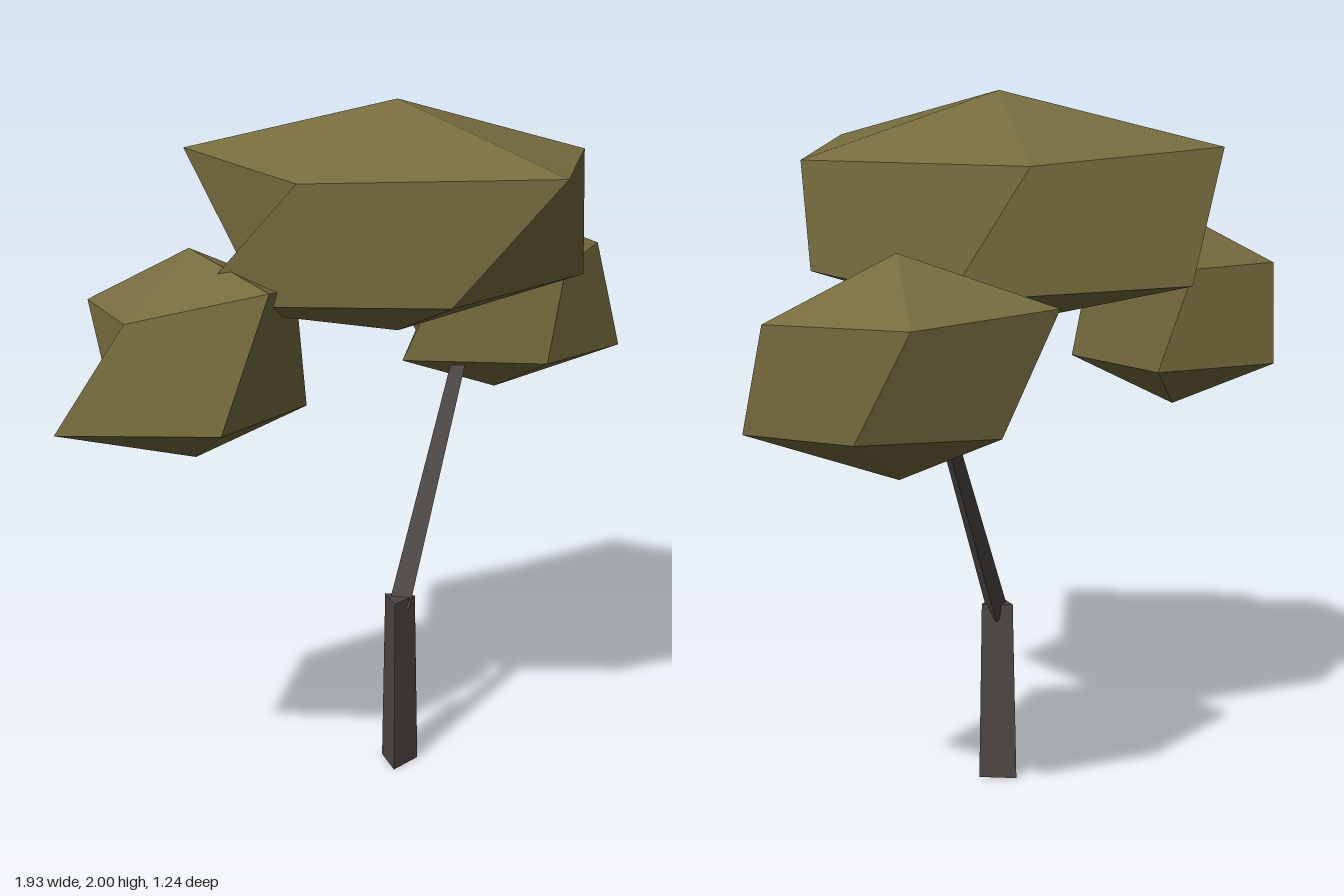
import * as THREE from 'three';

const foliage = new THREE.MeshStandardMaterial({ color: 0x776c3f });
foliage.name = 'olive foliage';
const bark = new THREE.MeshStandardMaterial({ color: 0x4d4844 });
bark.name = 'grey bark';

// Faceted crown: top point, two twisted rings of five, bottom point.
// Each side quad folds inward along one diagonal but keeps one flat normal.
function crown(name, top, upper, lower, bottom) {
  const positions = [], normals = [];
  const face = (...pts) => {
    const p = pts.map((q) => new THREE.Vector3(...q));
    // cross of the diagonals for a quad, of two edges for a triangle
    const n = p.length === 4
      ? p[2].clone().sub(p[0]).cross(p[3].clone().sub(p[1])).normalize()
      : p[1].clone().sub(p[0]).cross(p[2].clone().sub(p[0])).normalize();
    for (let i = 1; i < p.length - 1; i++) {
      for (const q of [p[0], p[i], p[i + 1]]) {
        positions.push(q.x, q.y, q.z);
        normals.push(n.x, n.y, n.z);
      }
    }
  };
  for (let i = 0; i < 5; i++) {
    const j = (i + 1) % 5;
    face(top, upper[i], upper[j]);
    face(lower[i], lower[j], upper[j], upper[i]);
    face(bottom, lower[j], lower[i]);
  }
  const geometry = new THREE.BufferGeometry();
  geometry.setAttribute('position', new THREE.Float32BufferAttribute(positions, 3));
  geometry.setAttribute('normal', new THREE.Float32BufferAttribute(normals, 3));
  const mesh = new THREE.Mesh(geometry, foliage);
  mesh.name = name;
  return mesh;
}

// Tapered three-sided limb between two points
function limb(name, from, to, r0, r1, turn) {
  const a = new THREE.Vector3(...from), b = new THREE.Vector3(...to);
  const dir = b.clone().sub(a);
  const geometry = new THREE.CylinderGeometry(r1, r0, dir.length(), 3).toNonIndexed();
  geometry.rotateY(turn);
  geometry.computeVertexNormals();
  const mesh = new THREE.Mesh(geometry, bark);
  mesh.name = name;
  mesh.position.copy(a).add(b).multiplyScalar(0.5);
  mesh.quaternion.setFromUnitVectors(new THREE.Vector3(0, 1, 0), dir.normalize());
  return mesh;
}

export function createModel() {
  const tree = new THREE.Group();
  tree.name = 'tree';

  // Trunk and its single leaning branch
  tree.add(limb('trunk', [0.02, 0, -0.031], [0.02, 0.535, -0.028], 0.0635, 0.052, Math.PI));
  tree.add(limb('branch', [0.028, 0.5, -0.03], [0.42, 1.23, -0.107], 0.036, 0.024, 0));

  // Rings run front, left, back left, back right, right
  tree.add(crown('mainCrown', [0.02, 2, -0.03],
    [[-0.08, 1.855, 0.62], [0.56, 1.83, 0.22], [0.35, 1.825, -0.36], [-0.28, 1.85, -0.57], [-0.46, 1.83, 0.04]],
    [[-0.22, 1.51, 0.36], [0.37, 1.51, 0.36], [0.57, 1.5, -0.26], [-0.03, 1.5, -0.62], [-0.64, 1.51, -0.18]],
    [0.02, 1.35, -0.03]));

  tree.add(crown('leftCrown', [0.63, 1.62, -0.15],
    [[0.59, 1.47, 0.145], [0.965, 1.47, 0], [0.87, 1.475, -0.38], [0.42, 1.485, -0.5], [0.33, 1.48, -0.1]],
    [[0.52, 1.18, 0.135], [0.9, 1.17, 0.135], [0.94, 1.2, -0.26], [0.6, 1.18, -0.45], [0.24, 1.19, -0.2]],
    [0.63, 1.04, -0.15]));

  tree.add(crown('rightCrown', [-0.55, 1.64, -0.27],
    [[-0.59, 1.57, 0.065], [-0.28, 1.5, -0.14], [-0.345, 1.5, -0.45], [-0.695, 1.49, -0.52], [-0.83, 1.49, -0.22]],
    [[-0.72, 1.21, 0.01], [-0.36, 1.21, -0.03], [-0.255, 1.21, -0.39], [-0.58, 1.21, -0.59], [-0.97, 1.2, -0.35]],
    [-0.55, 1.06, -0.27]));

  return tree;
}
